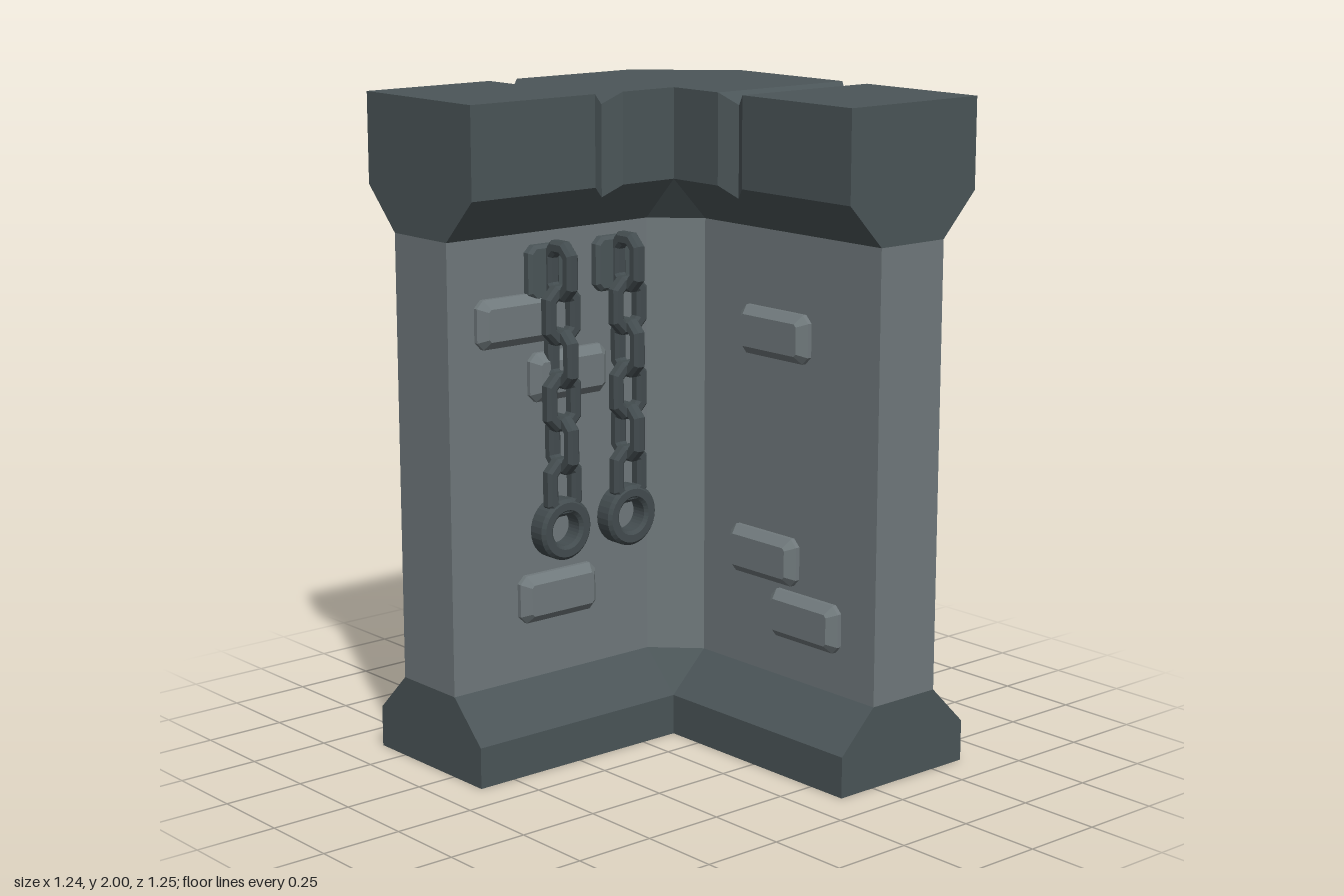
import * as THREE from 'three';

const mat = (name, color, side = THREE.FrontSide) => {
  const m = new THREE.MeshStandardMaterial({ color, side });
  m.name = name;
  return m;
};
const lightStone = mat('light stone', 0x70797c, THREE.DoubleSide);
const darkStone = mat('dark stone', 0x4b5558, THREE.DoubleSide);
const iron = mat('iron', 0x434c4f);

const OUT = 0.622, IN = 0.122, FLARE = 0.125, GROOVE = 0.035;
const BODY_OUT = OUT - FLARE, BODY_IN = IN + FLARE;

// Plan stations along the L: outer/inner points [x, z] on the body and on the flared rim
const along = (x, groove = false) => ({
  ob: [x, -BODY_OUT], oc: [x, -OUT], ib: [x, -BODY_IN], ic: [x, -IN], groove,
});
const flip = ([x, z]) => [-z, -x];
const mirror = (s) => ({ ob: flip(s.ob), oc: flip(s.oc), ib: flip(s.ib), ic: flip(s.ic), groove: s.groove });
const corner = { ...along(0.372), ib: [IN, -BODY_IN], ic: [IN, -IN] };
const arm = [along(-OUT), along(-0.177), along(-0.125, true), along(-0.073), corner];
const stations = [...arm, ...arm.map(mirror).reverse()];

// Point on the section: t = 0 on the body, t = 1 on the rim
const at = (a, b, t, y) => [a[0] + (b[0] - a[0]) * t, y, a[1] + (b[1] - a[1]) * t];

// Lofts one section through all stations and closes both ends
function loft(name, material, section, skip = -1) {
  const rows = stations.map(section);
  const pos = [];
  const tri = (...p) => p.forEach((v) => pos.push(...v));
  for (let i = 0; i < rows.length - 1; i++) {
    for (let j = 0; j < rows[i].length - 1; j++) {
      if (j === skip) continue;
      const a = rows[i][j], b = rows[i][j + 1], c = rows[i + 1][j + 1], d = rows[i + 1][j];
      tri(a, b, c);
      tri(a, c, d);
    }
  }
  const first = rows[0], last = rows[rows.length - 1];
  for (let j = 1; j < first.length - 1; j++) {
    tri(first[0], first[j + 1], first[j]);
    tri(last[0], last[j], last[j + 1]);
  }
  const g = new THREE.BufferGeometry();
  g.setAttribute('position', new THREE.Float32BufferAttribute(pos, 3));
  g.computeVertexNormals();
  const mesh = new THREE.Mesh(g, material);
  mesh.name = name;
  return mesh;
}

const bodySection = (s) => [
  at(s.ob, s.oc, 0, 0.25), at(s.ob, s.oc, 0, 1.6), at(s.ib, s.ic, 0, 1.6), at(s.ib, s.ic, 0, 0.25),
];
const capSection = (s) => {
  const t = s.groove ? 1 - GROOVE / FLARE : 1;
  const top = s.groove ? 2 - GROOVE : 2, rim = 1.6 + 0.13 * t;
  return [
    at(s.ob, s.oc, 0, 1.6), at(s.ob, s.oc, t, rim), at(s.ob, s.oc, t, top),
    at(s.ib, s.ic, t, top), at(s.ib, s.ic, t, rim), at(s.ib, s.ic, 0, 1.6),
  ];
};
const baseSection = (s) => {
  const t = s.groove ? 1 - GROOVE / FLARE : 1;
  return [
    at(s.ob, s.oc, t, 0), at(s.ob, s.oc, t, 0.25 - FLARE * t), at(s.ob, s.oc, 0, 0.25),
    at(s.ib, s.ic, 0, 0.25), at(s.ib, s.ic, 1, 0.125), at(s.ib, s.ic, 1, 0),
  ];
};

// Rectangle with clipped corners
function clipped(path, w, h, c) {
  const pts = [[w, c - h], [w, h - c], [w - c, h], [c - w, h], [-w, h - c], [-w, c - h], [c - w, -h], [w - c, -h]];
  return path.setFromPoints(pts.map(([x, y]) => new THREE.Vector2(x, y)));
}
const extrude = (shape, depth, bevelThickness, bevelSize) =>
  new THREE.ExtrudeGeometry(shape, { depth, bevelThickness, bevelSize, bevelSegments: 1, curveSegments: 16 });

const brickGeo = extrude(clipped(new THREE.Shape(), 0.118, 0.048, 0.008), 0.014, 0.026, 0.025);
const plateGeo = extrude(clipped(new THREE.Shape(), 0.07, 0.072, 0.015), 0.02, 0.01, 0.01);

const linkShape = clipped(new THREE.Shape(), 0.054, 0.078, 0.03);
linkShape.holes.push(clipped(new THREE.Path(), 0.035, 0.058, 0.018));
const linkGeo = extrude(linkShape, 0.022, 0.01, 0.01).translate(0, 0, -0.011);

const ringShape = new THREE.Shape().absarc(0, 0, 0.083, 0, Math.PI * 2);
ringShape.holes.push(new THREE.Path().absarc(0, 0, 0.06, 0, Math.PI * 2, true));
const ringGeo = extrude(ringShape, 0.05, 0.01, 0.01).translate(0, 0, -0.025);

function add(parent, name, geo, material, x, y, z, turn = 0) {
  const m = new THREE.Mesh(geo, material);
  m.name = name;
  m.position.set(x, y, z);
  m.rotation.y = turn;
  parent.add(m);
}

// Wall plate, six alternating links and an end ring
function chain(x, top, pitch) {
  const g = new THREE.Group();
  g.name = 'chain';
  add(g, 'chainPlate', plateGeo, darkStone, x, 1.482, 0);
  for (let i = 0; i < 6; i++) {
    add(g, 'chainLink', linkGeo, iron, x, top - i * pitch, 0.07, i % 2 ? 0 : Math.PI / 2);
  }
  add(g, 'chainRing', ringGeo, iron, x, top - 6 * pitch, 0.06);
  return g;
}

// Decorated wall face; bricks are [x, y] in the face's own plane
function face(name, x, z, turn, bricks, chains = []) {
  const g = new THREE.Group();
  g.name = name;
  g.position.set(x, 0, z);
  g.rotation.y = turn;
  bricks.forEach(([bx, by]) => add(g, 'brick', brickGeo, lightStone, bx, by, 0));
  chains.forEach((c) => g.add(chain(...c)));
  return g;
}

export function createModel() {
  const model = new THREE.Group();
  model.name = 'cornerWall';
  const wall = new THREE.Group();
  wall.name = 'wall';
  wall.position.z = 0.006;
  wall.add(
    loft('wallBody', lightStone, bodySection),
    loft('wallCap', darkStone, capSection),
    loft('wallBase', darkStone, baseSection, 2),
    face('innerBackFace', 0, -BODY_IN, 0,
      [[-0.385, 1.35], [-0.195, 1.17], [-0.24, 0.5]],
      [[-0.265, 1.49, 0.129], [-0.012, 1.49, 0.129]]),
    face('outerBackFace', 0, -BODY_OUT, Math.PI,
      [[0.3, 1.42], [0.025, 1.175], [-0.13, 1.01], [0.16, 1.01], [0.13, 0.615], [-0.055, 0.445]],
      [[0.28, 1.472, 0.136], [0, 1.472, 0.136]]),
    face('outerSideFace', BODY_OUT, 0, Math.PI / 2,
      [[-0.187, 1.44], [-0.002, 1.28], [-0.217, 0.688], [0.098, 0.688], [-0.088, 0.522]]),
    face('innerSideFace', BODY_IN, 0, -Math.PI / 2,
      [[0.2, 1.295], [0.16, 0.615], [0.34, 0.45]]),
  );
  model.add(wall);
  return model;
}
